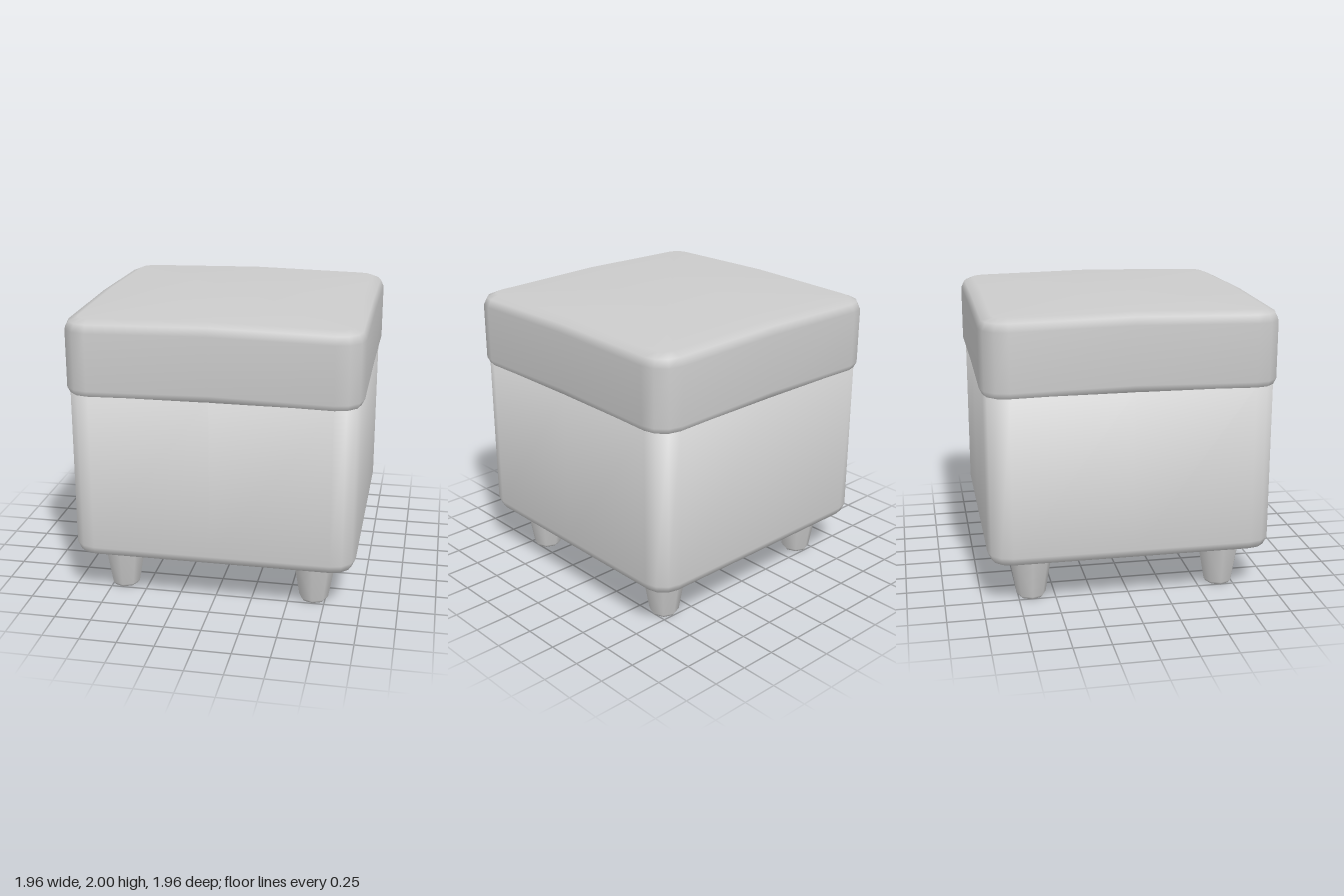
import * as THREE from 'three';

const material = new THREE.MeshStandardMaterial({ color: 0xcccccc });
const CORNER = 0.8; // centre of the rounded corners in plan
const STEPS = 3; // segments per rounded corner

// One rounded-square outline: each corner arc followed by a mid-edge point
function outline(half) {
  const points = [];
  for (let q = 0; q < 4; q++) {
    const start = (q * Math.PI) / 2;
    const sx = q === 0 || q === 3 ? 1 : -1;
    const sz = q < 2 ? 1 : -1;
    for (let i = 0; i <= STEPS; i++) {
      const a = start + (i / STEPS) * (Math.PI / 2);
      const r = half - CORNER;
      points.push([sx * CORNER + r * Math.cos(a), sz * CORNER + r * Math.sin(a)]);
    }
    const end = start + Math.PI / 2;
    points.push([half * Math.round(Math.cos(end)), half * Math.round(Math.sin(end))]);
  }
  return points;
}

// Closed block from [halfWidth, y] rings, bottom to top, lifted by a shallow crown
function roundedBlock(name, profile, crown) {
  const positions = [];
  const index = [];
  const lift = (x, z) => crown * (2 - Math.abs(x) - Math.abs(z));
  for (const [half, y] of profile) {
    for (const [x, z] of outline(half)) positions.push(x, y + lift(x, z), z);
  }
  const n = outline(1).length;
  const last = (profile.length - 1) * n;
  const bottom = profile.length * n;
  positions.push(0, profile[0][1] + lift(0, 0), 0);
  positions.push(0, profile[profile.length - 1][1] + lift(0, 0), 0);
  for (let j = 0; j < n; j++) {
    const k = (j + 1) % n;
    for (let i = 0; i < last; i += n) {
      index.push(i + j, i + n + j, i + k, i + k, i + n + j, i + n + k);
    }
    index.push(bottom, j, k, bottom + 1, last + k, last + j);
  }
  const geometry = new THREE.BufferGeometry();
  geometry.setAttribute('position', new THREE.Float32BufferAttribute(positions, 3));
  geometry.setIndex(index);
  geometry.computeVertexNormals();
  const mesh = new THREE.Mesh(geometry, material);
  mesh.name = name;
  return mesh;
}

export function createModel() {
  const group = new THREE.Group();
  group.name = 'footstool';

  // Upholstered box with a rounded lower edge; its top is hidden in the lid
  group.add(roundedBlock('body', [
    [0.87, 0.31], [0.935, 0.335], [0.96, 0.39], [0.96, 1.47],
  ], 0));

  // Slightly wider cushioned lid with a crowned top
  group.add(roundedBlock('lid', [
    [0.92, 1.443], [0.955, 1.45], [0.98, 1.5],
    [0.98, 1.885], [0.955, 1.935], [0.89, 1.96],
  ], 0.02));

  // Four tapered feet
  const legProfile = [[0, 0], [0.085, 0], [0.1, 0.02], [0.15, 0.31], [0.15, 0.33]]
    .map(([r, y]) => new THREE.Vector2(r, y));
  const legGeometry = new THREE.LatheGeometry(legProfile, 8);
  for (const [side, x] of [['Left', 0.67], ['Right', -0.67]]) {
    for (const [end, z] of [['front', 0.66], ['back', -0.66]]) {
      const leg = new THREE.Mesh(legGeometry, material);
      leg.name = `${end}${side}Leg`;
      leg.position.set(x, 0, z);
      group.add(leg);
    }
  }
  return group;
}
